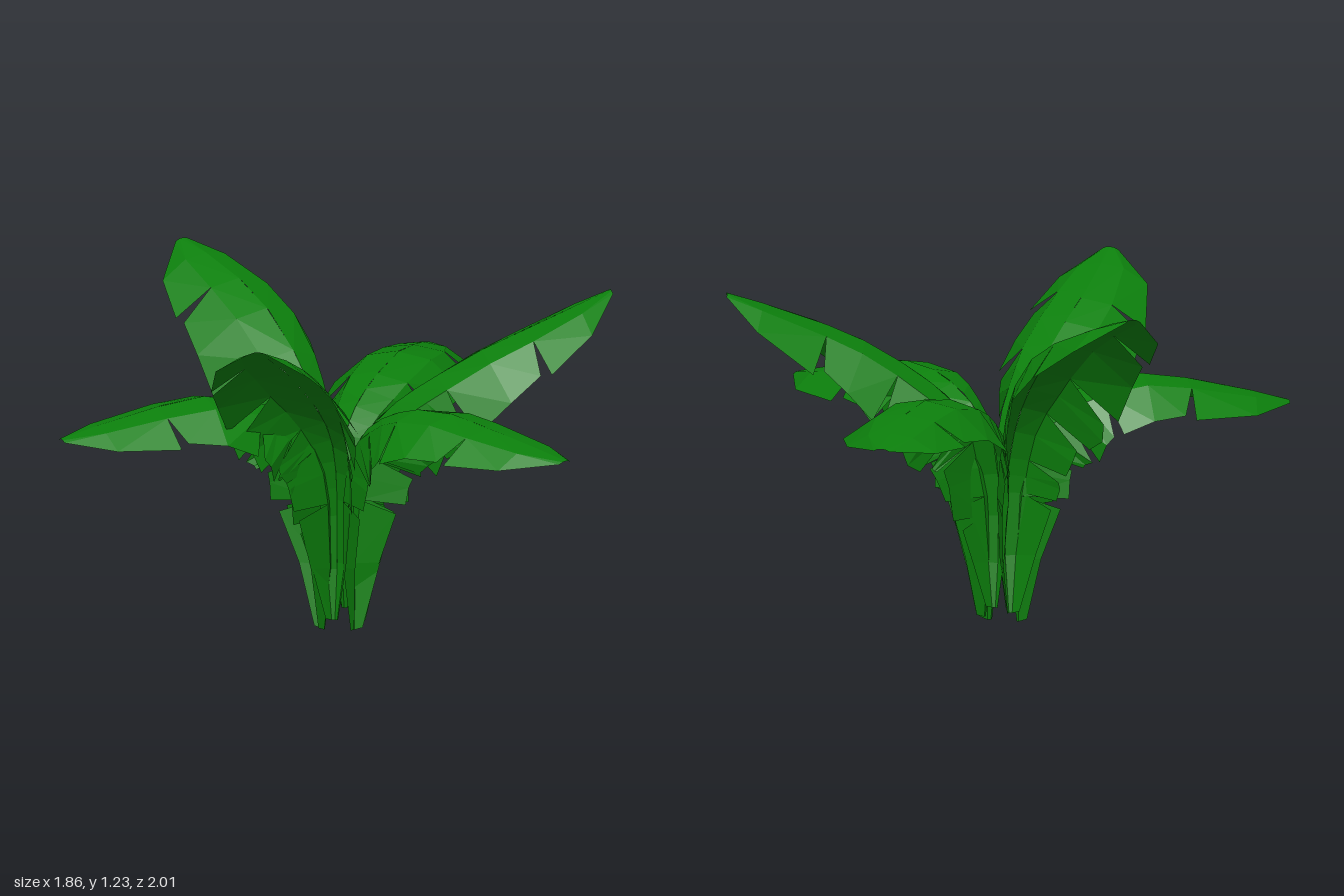
import * as THREE from 'three';

const material = new THREE.MeshStandardMaterial({ color: 0x0c7f0c, flatShading: true, side: THREE.DoubleSide });
const UP = new THREE.Vector3(0, 1, 0);
const CENTRE = new THREE.Vector3(0, 0, 0.08);

// small seeded generator for slight irregularity
let seed = 7;
const rand = () => (seed = (seed * 16807) % 2147483647) / 2147483647;

// piecewise linear lookup in [u, value] pairs
function ramp(pairs, u) {
  for (let i = 1; i < pairs.length; i++) {
    const [a, va] = pairs[i - 1], [b, vb] = pairs[i];
    if (u <= b) return va + (vb - va) * (u - a) / (b - a);
  }
  return pairs[pairs.length - 1][1];
}
// half width and edge droop along the leaf: folded sheath first, then open blade
const WIDTH = [[0, 0.02], [0.24, 0.1], [0.4, 0.13], [0.5, 0.19], [0.6, 0.245], [0.8, 0.225], [0.92, 0.165], [1, 0.03]];
const DROOP = [[0, 0.03], [0.24, 0.16], [0.4, 0.21], [0.5, 0.23], [0.6, 0.18], [0.8, 0.12], [0.92, 0.075], [1, 0.01]];
// torn strips along the blade
const TEARS = [0, 0.25, 0.36, 0.46, 0.56, 0.77, 1];

// a leaf: midrib curve with torn, drooping strips on both sides
function leaf(name, tip, y0, y1, y2, bow, sag) {
  const d = new THREE.Vector3(tip[0], 0, tip[2]).sub(CENTRE);
  const reach = d.length();
  d.normalize();
  const side = new THREE.Vector3().crossVectors(UP, d);
  const knot = (r, y, b = 0) => CENTRE.clone().addScaledVector(d, r).addScaledVector(side, b).setY(y);
  const curve = new THREE.CatmullRomCurve3([
    knot(0.055, y0), knot(0.025, 0.34), knot(0.1, 0.7),
    knot(0.4 * reach, y1, bow), knot(0.71 * reach, y2, bow), new THREE.Vector3(...tip),
  ]);

  // point at u along the midrib, k across the half blade
  const at = (u, k, s, grow = 1) => {
    const n = new THREE.Vector3().crossVectors(curve.getTangent(u), side).normalize();
    const drop = ramp(DROOP, u) * (u > 0.5 ? sag : 1) * (k < 1 ? 0.35 * k : grow);
    return curve.getPoint(u).addScaledVector(side, s * k * grow * ramp(WIDTH, u)).addScaledVector(n, -drop);
  };

  const pos = [];
  const quad = (a, b, c, e, flip) => {
    for (const p of flip ? [a, c, b, a, e, c] : [a, b, c, a, c, e]) pos.push(p.x, p.y, p.z);
  };
  for (const s of [-1, 1]) {
    const cuts = TEARS.map((u, i) => (i > 0 && i < 6 ? u + 0.05 * (rand() - 0.5) : u));
    for (let i = 1; i < cuts.length; i++) {
      const u0 = cuts[i - 1], u1 = cuts[i], last = i === cuts.length - 1;
      const um = last ? 0.91 : (u0 + u1) / 2;
      const g0 = 0.98 + 0.12 * rand(), g1 = last ? 1 : 0.88 + 0.12 * rand();
      const outer = [at(u0 + 0.004, 1, s, g0), at(um, 1, s), at(u1 - (last ? 0 : 0.018), 1, s, g1)];
      [u0, um].forEach((u, j) => {
        const v = j ? u1 : um;
        quad(at(u, 0, s), at(v, 0, s), at(v, 0.5, s), at(u, 0.5, s), s < 0);
        quad(at(u, 0.5, s), at(v, 0.5, s), outer[j + 1], outer[j], s < 0);
      });
    }
  }
  const geo = new THREE.BufferGeometry();
  geo.setAttribute('position', new THREE.Float32BufferAttribute(pos, 3));
  geo.computeVertexNormals();
  const mesh = new THREE.Mesh(geo, material);
  mesh.name = name;
  return mesh;
}

export function createModel() {
  const plant = new THREE.Group();
  plant.name = 'broadLeafPlant';
  plant.add(
    leaf('backLeaf', [0.16, 0.8, -1.0], 0.06, 0.87, 0.86, -0.05, 0.8),
    leaf('backRightLeaf', [-0.65, 1.23, -0.62], 0.04, 1.0, 1.15, -0.02, 1.1),
    leaf('leftLeaf', [0.92, 1.18, -0.2], 0.02, 0.94, 1.08, -0.075, 1),
    leaf('frontLeftLeaf', [0.88, 0.75, 0.67], 0, 0.85, 0.82, -0.03, 0.8),
    leaf('frontLeaf', [-0.16, 1.18, 1.0], 0.04, 0.95, 1.09, -0.04, 0.85),
    leaf('frontRightLeaf', [-0.92, 0.75, 0.55], 0, 0.86, 0.83, 0, 0.8),
  );
  return plant;
}
